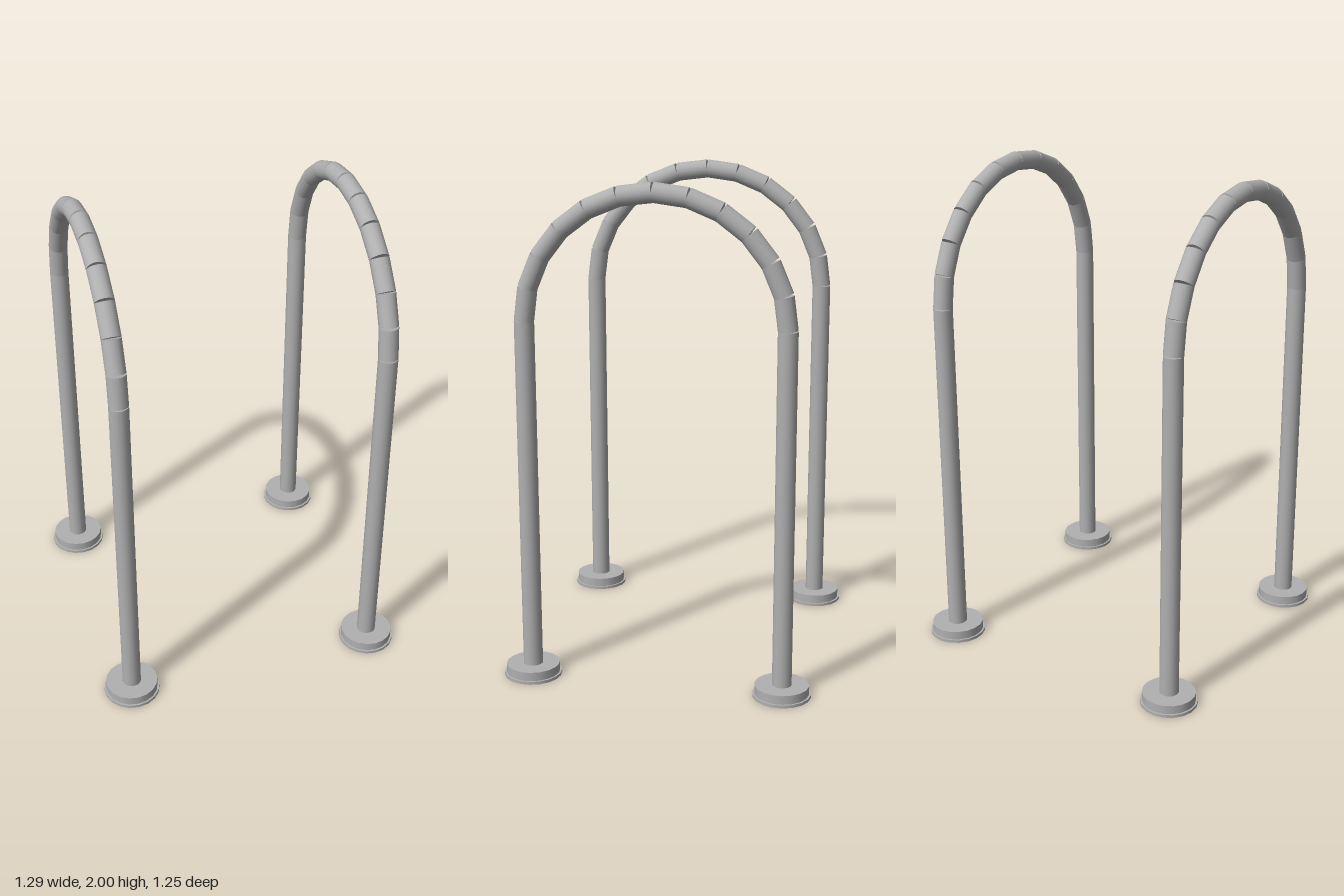
import * as THREE from 'three';

export function createModel() {
  const model = new THREE.Group();
  const steel = new THREE.MeshStandardMaterial({ color: 0xb0b0b0 });
  steel.name = 'steel grey';

  const X = 0.53, R = 0.51, TUBE = 0.039, SPRING = 1.46, SEGMENTS = 12, RISE = 0.5;
  const up = new THREE.Vector3(0, 1, 0);

  // Straight capped cylinder between two points
  function rod(name, a, b, radius, sides = 16) {
    const dir = b.clone().sub(a);
    const mesh = new THREE.Mesh(new THREE.CylinderGeometry(radius, radius, dir.length(), sides), steel);
    mesh.name = name;
    mesh.position.copy(a).add(b).multiplyScalar(0.5);
    mesh.quaternion.setFromUnitVectors(up, dir.normalize());
    return mesh;
  }

  const archPoint = (i) => {
    const t = (i / SEGMENTS) * Math.PI;
    return new THREE.Vector3(0, SPRING + RISE * Math.sin(t), R * Math.cos(t));
  };

  for (const side of [-1, 1]) {
    const hoop = new THREE.Group();
    hoop.name = side > 0 ? 'leftHoop' : 'rightHoop';
    hoop.position.x = side * X;

    // Legs with stepped round feet
    for (const end of [1, -1]) {
      const at = (y) => new THREE.Vector3(0, y, end * R);
      const label = end > 0 ? 'front' : 'back';
      hoop.add(
        rod(label + 'Leg', at(0.04), at(SPRING), TUBE),
        rod(label + 'FootPlate', at(0), at(0.012), 0.116, 18),
        rod(label + 'FootCollar', at(0.012), at(0.048), 0.108, 18)
      );
    }

    // Arch of straight sections, leaving small notches on the outer bend
    for (let i = 0; i < SEGMENTS; i++) {
      hoop.add(rod('archSection' + (i + 1), archPoint(i), archPoint(i + 1), TUBE));
    }
    model.add(hoop);
  }
  return model;
}
